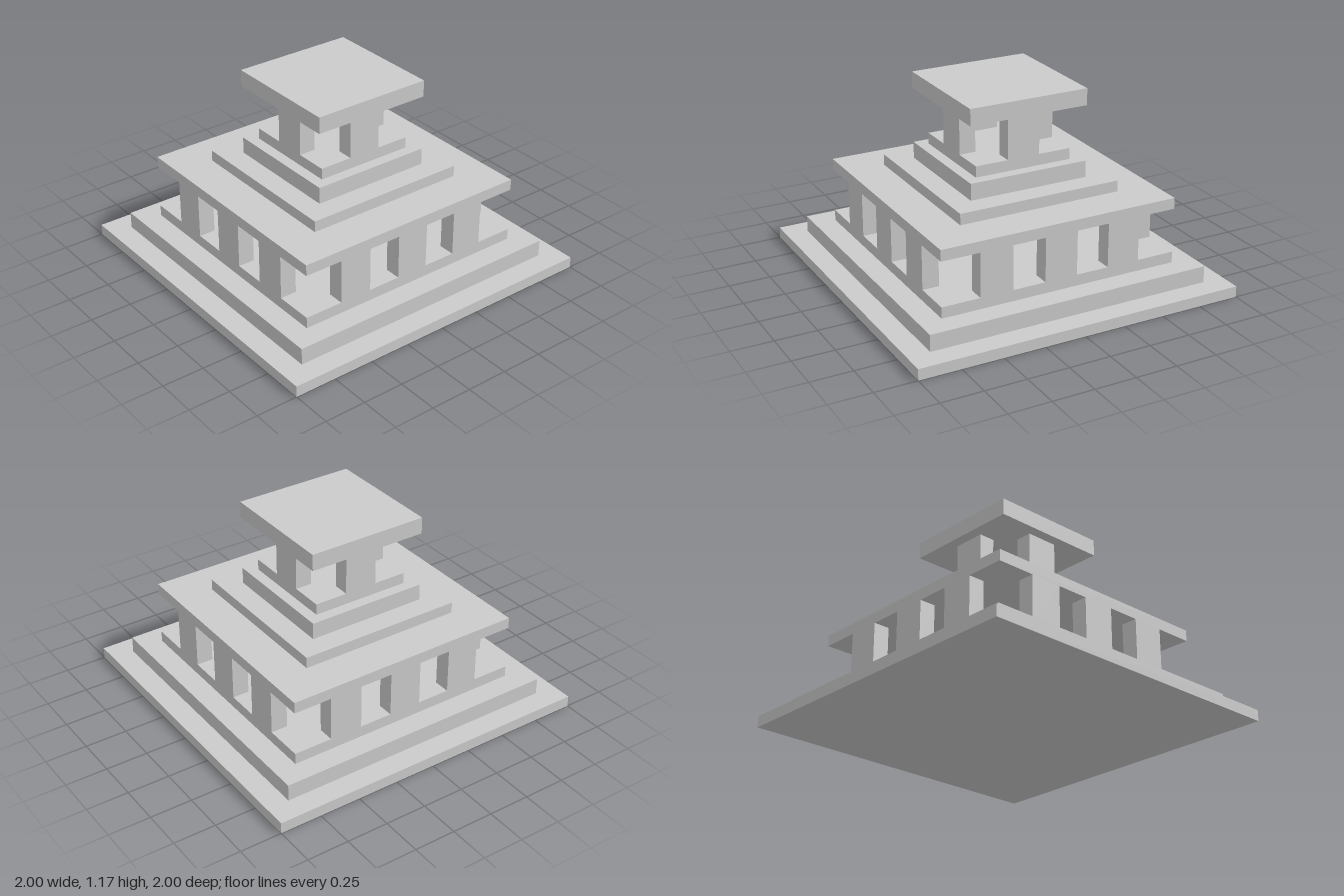
import * as THREE from 'three';

const U = 1 / 30; // all sizes below are whole multiples of this module

export function createModel() {
  const group = new THREE.Group();
  const material = new THREE.MeshStandardMaterial({ color: 0xcccccc, flatShading: true });

  // Box resting at height y, in module units
  function block(parent, name, w, h, d, x, y, z) {
    const mesh = new THREE.Mesh(new THREE.BoxGeometry(w * U, h * U, d * U), material);
    mesh.position.set(x * U, (y + h / 2) * U, z * U);
    mesh.name = name;
    parent.add(mesh);
  }

  // Square slabs: name, width, bottom, top
  const slabs = [
    ['basePlinth', 60, 0, 2],
    ['baseStep', 52, 2, 5],
    ['lowerFloor', 44, 5, 7],
    ['lowerRoof', 44, 15, 17],
    ['upperPlinth', 30, 17, 19],
    ['upperStep', 22, 19, 22],
    ['upperFloor', 18, 22, 24],
    ['topRoof', 22, 32, 35],
  ];
  for (const [name, w, y0, y1] of slabs) block(group, name, w, y1 - y0, w, 0, y0, 0);

  // Flat pillars flush with the floor edge, repeated on all four sides
  function colonnade(name, half, y, height, offsets) {
    for (let side = 0; side < 4; side++) {
      const row = new THREE.Group();
      row.name = name + 'Row';
      row.rotation.y = side * Math.PI / 2;
      for (const x of offsets) block(row, name, 6, height, 3, x, y, half - 1.5);
      group.add(row);
    }
  }
  colonnade('lowerPillar', 22, 7, 8, [-12, 0, 12]);
  colonnade('upperPillar', 9, 24, 8, [0]);

  return group;
}
